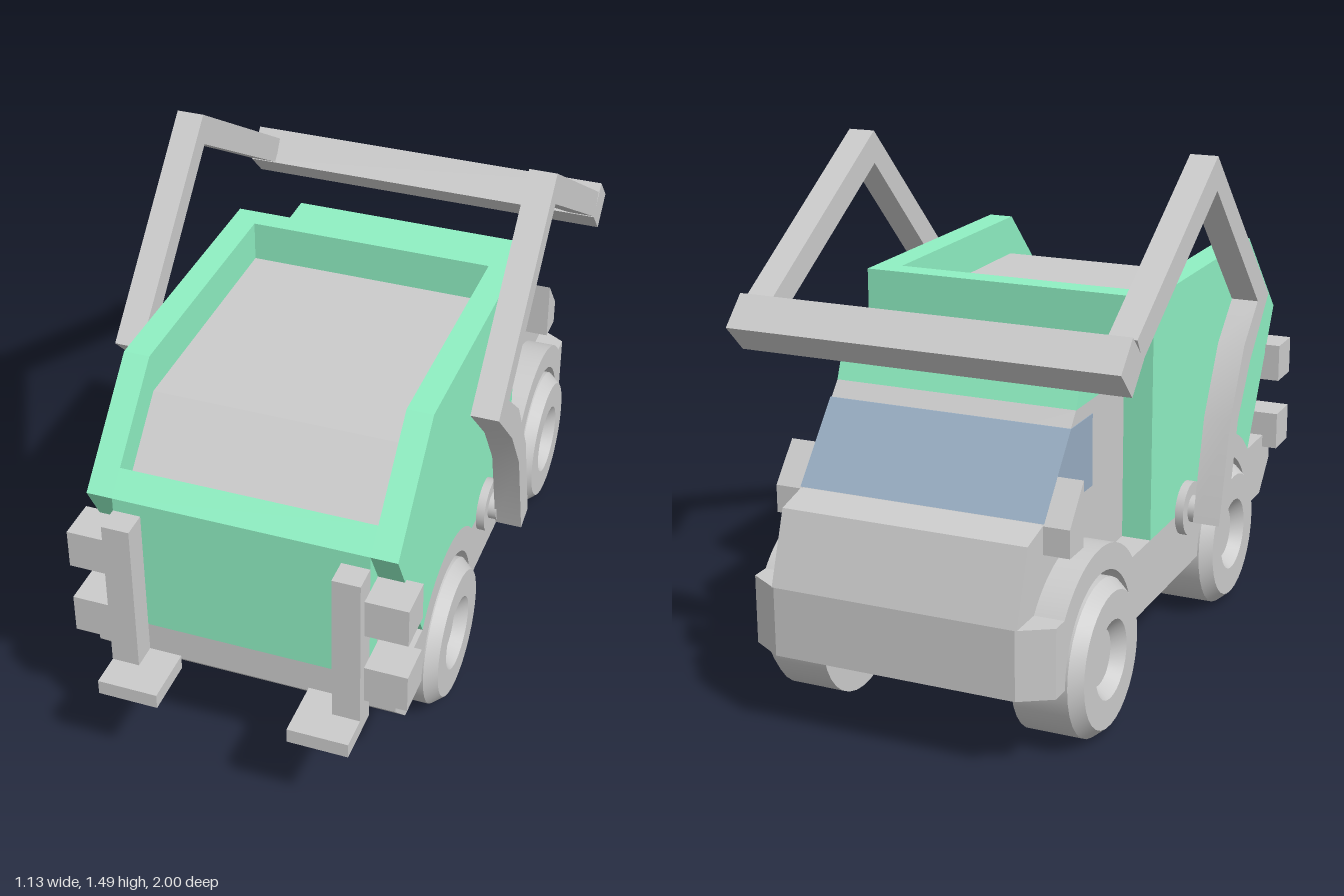
import * as THREE from 'three';
import { toCreasedNormals } from 'three/addons/utils/BufferGeometryUtils.js';

const grey = new THREE.MeshStandardMaterial({ color: 0xcccccc });
const green = new THREE.MeshStandardMaterial({ color: 0x8ff0c3 });
const blue = new THREE.MeshStandardMaterial({ color: 0x98adc2 });
const AXLES = [0.36, -0.655];
const ARCH_R = 0.31, ARCH_Y = 0.22, DECK_Y = 0.42;
const ARCH_A = Math.asin((DECK_Y - ARCH_Y) / ARCH_R);

export function createModel() {
  const model = new THREE.Group();

  const add = (name, geometry, material = grey) => {
    const mesh = new THREE.Mesh(geometry, material);
    mesh.name = name;
    model.add(mesh);
    return mesh;
  };
  const box = (name, x0, x1, y0, y1, z0, z1, material) =>
    add(name, new THREE.BoxGeometry(x1 - x0, y1 - y0, z1 - z0), material)
      .position.set((x0 + x1) / 2, (y0 + y1) / 2, (z0 + z1) / 2);

  // Side profile of [z, y] points, extruded across x0..x1
  const profile = (pts) => new THREE.Shape(pts.map(([z, y]) => new THREE.Vector2(-z, y)));
  const slab = (name, shape, x0, x1, material) => {
    const g = new THREE.ExtrudeGeometry(shape, { depth: x1 - x0, bevelEnabled: false, curveSegments: 20 });
    g.rotateY(Math.PI / 2).translate(x0, 0, 0);
    return add(name, toCreasedNormals(g, 0.6), material);
  };
  const bothSides = (fn) => [['left', 1], ['right', -1]].forEach(([n, s]) =>
    fn(n, (a, b) => (s > 0 ? [a, b] : [-b, -a]), s));

  // Chassis: plain core, chamfered nose, side strips with wheel openings and fenders
  slab('chassisCore', profile([[0.83, 0.42], [0.83, 0.32], [0.74, 0.225], [-0.945, 0.225], [-0.945, 0.42]]), -0.27, 0.27);
  const nose = new THREE.Shape([[-0.44, 0.945], [0.44, 0.945], [0.35, 1], [-0.35, 1]].map((p) => new THREE.Vector2(...p)));
  add('frontBumper', new THREE.ExtrudeGeometry(nose, { depth: 0.195, bevelEnabled: false })
    .rotateX(-Math.PI / 2).translate(0, 0.225, 0));
  const strip = new THREE.Shape();
  strip.moveTo(-0.83, DECK_Y).lineTo(-0.83, 0.32).lineTo(-0.74, 0.225);
  AXLES.forEach((z) => strip.absarc(-z, 0.225, 0.233, Math.PI, 0, true));
  strip.lineTo(0.945, 0.225).lineTo(0.945, DECK_Y);
  [...AXLES].reverse().forEach((z) => strip.absarc(-z, ARCH_Y, ARCH_R, ARCH_A, Math.PI - ARCH_A, false));

  // Hopper side wall, cut around the rear fender
  const wall = new THREE.Shape();
  wall.moveTo(-0.83, DECK_Y);
  wall.absarc(-AXLES[0], ARCH_Y, ARCH_R, Math.PI - ARCH_A, ARCH_A, true);
  wall.lineTo(0.28, DECK_Y).lineTo(0.28, 1.12).lineTo(-0.55, 1.12).lineTo(-0.83, 0.84);

  // Hopper end walls and load
  slab('hopperTailWall', profile([[0.83, 0.42], [0.77, 0.42], [0.77, 0.9], [0.83, 0.84]]), -0.365, 0.365, green);
  box('hopperCabWall', -0.365, 0.365, 0.42, 1.12, -0.28, -0.21, green);
  slab('load', profile([[0.77, 0.42], [-0.21, 0.42], [-0.21, 1], [0.54, 1], [0.77, 0.77]]), -0.365, 0.365);

  // Cab with roof and wrap-around window
  slab('cab', profile([[-0.28, 0.42], [-1, 0.42], [-0.93, 0.62], [-0.83, 0.645], [-0.62, 0.89], [-0.28, 0.89]]), -0.355, 0.355);
  slab('cabRoof', profile([[-0.28, 0.89], [-0.62, 0.89], [-0.575, 1], [-0.28, 1]]), -0.355, 0.355, green);
  slab('windows', profile([[-0.51, 0.647], [-0.832, 0.647], [-0.658, 0.85], [-0.51, 0.85]]), -0.357, 0.357, blue);

  // Lifting arm outline
  const arm = profile([[0.02, 0.38], [-0.05, 0.4], [0.03, 0.7], [0.14, 0.895], [0.257, 1], [-0.14, 1.4],
    [-0.69, 1.065], [-0.73, 1.13], [-0.14, 1.495], [0.36, 1], [0.2, 0.834], [0.1, 0.68]]);

  // Wheel: tyre, bevelled shoulder and recessed hub
  const wheelProfile = [[0, 0.28], [0.219, 0.28], [0.219, 0.44], [0.19, 0.475], [0.11, 0.475], [0.08, 0.44], [0, 0.44]];
  const wheel = toCreasedNormals(new THREE.LatheGeometry(
    wheelProfile.map((p) => new THREE.Vector2(...p)), 32), 0.5);

  bothSides((side, span, s) => {
    slab(side + 'ChassisSide', strip, ...span(0.27, 0.44));
    slab(side + 'HopperWall', wall, ...span(0.365, 0.44), green);
    slab(side + 'Mirror', profile([[-0.745, 0.565], [-0.835, 0.565], [-0.835, 0.643], [-0.745, 0.748]]), ...span(0.35, 0.43));
    slab(side + 'LiftArm', arm, ...span(0.485, 0.565));

    AXLES.forEach((z, i) => {
      const w = add(side + (i ? 'CabWheel' : 'HopperWheel'), wheel);
      w.position.set(0, 0.22, z);
      w.rotation.z = -s * Math.PI / 2;
    });

    // Arm pivot
    [[0.08, 0.43, 0.465], [0.04, 0.46, 0.49]].forEach(([r, a, b], i) => {
      const p = add(side + (i ? 'PivotPin' : 'PivotDisc'), new THREE.CylinderGeometry(r, r, b - a, 28));
      p.rotation.z = Math.PI / 2;
      p.position.set(s * (a + b) / 2, 0.425, 0);
    });

    // Bin lifter: upright, fork and two brackets
    box(side + 'LifterUpright', ...span(0.285, 0.365), 0.33, 0.8, 0.83, 0.905);
    box(side + 'LifterFork', ...span(0.19, 0.365), 0.285, 0.33, 0.83, 1);
    [0.38, 0.61].forEach((y) => box(side + 'LifterBracket', ...span(0.365, 0.487), y, y + 0.117, 0.755, 0.875));
  });

  // Crossbar joining the arms
  const bar = add('crossbar', new THREE.BoxGeometry(1.13, 0.11, 0.11));
  bar.position.set(0, 1.067, -0.76);
  bar.rotation.x = Math.PI / 4;

  return model;
}
